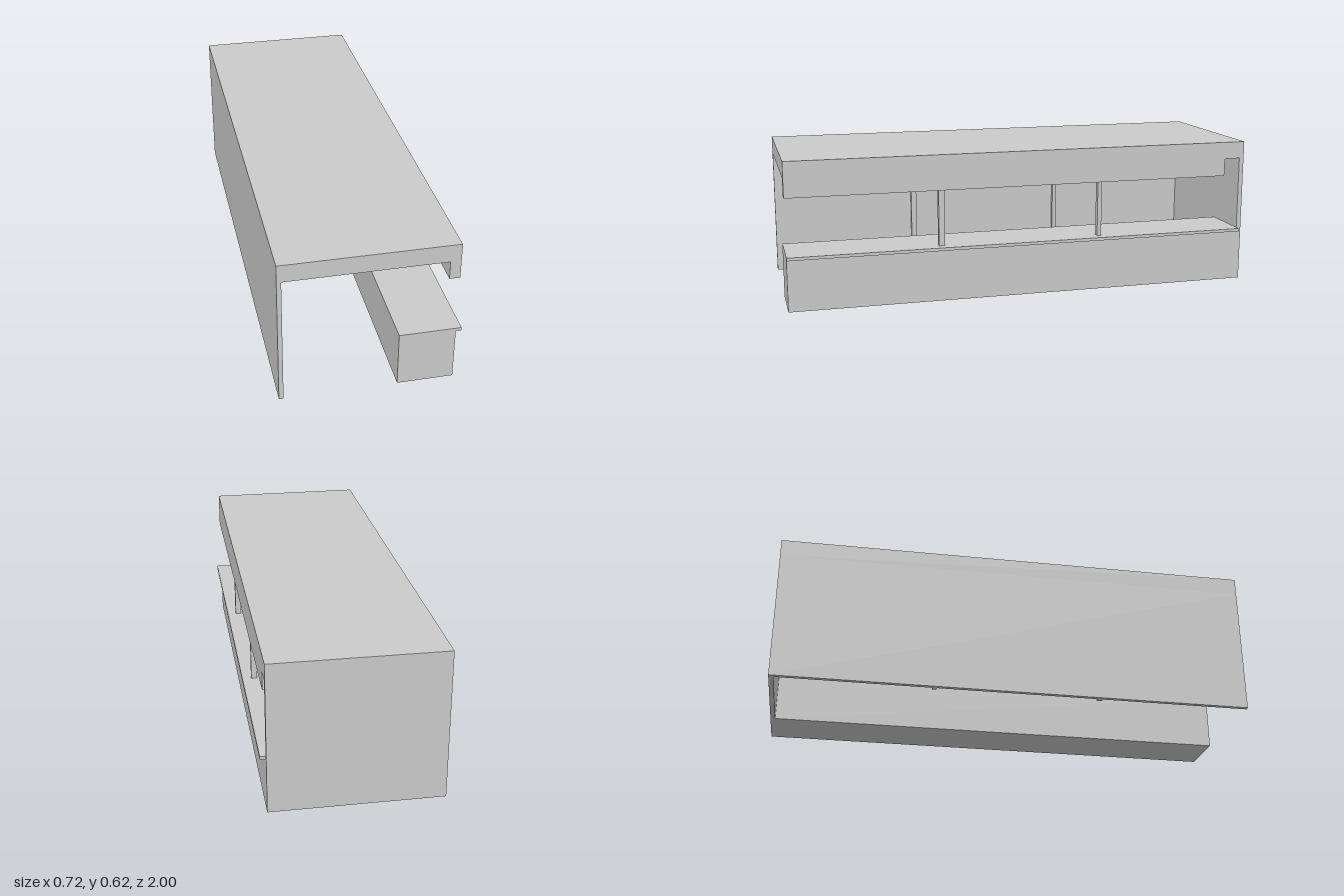
import * as THREE from 'three';

const material = new THREE.MeshStandardMaterial({ color: 0xcccccc, flatShading: true });

// Box given by its extents along each axis
function block(name, [x0, x1], [y0, y1], [z0, z1]) {
  const mesh = new THREE.Mesh(new THREE.BoxGeometry(x1 - x0, y1 - y0, z1 - z0), material);
  mesh.name = name;
  mesh.position.set((x0 + x1) / 2, (y0 + y1) / 2, (z0 + z1) / 2);
  return mesh;
}

export function createModel() {
  const group = new THREE.Group();
  group.name = 'openFrontedShelter';

  const left = -0.358, right = 0.335, top = 0.62;
  const ceiling = 0.547, wallInner = -0.34, backInner = -0.98;
  const counterTop = 0.233, beamBottom = 0.471;

  // Shell: roof, long side wall and end wall
  group.add(
    block('roof', [left, right], [ceiling, top], [-1, 1]),
    block('sideWall', [left, wallInner], [0, ceiling], [-1, 1]),
    block('endWall', [wallInner, right], [0, ceiling], [-1, backInner])
  );

  // Beam hanging below the roof edge, stopping short of the end wall
  group.add(block('edgeBeam', [0.293, right], [beamBottom, ceiling], [-0.91, 1]));

  // Low solid parapet with a thin ledge on its outer edge
  group.add(
    block('parapet', [0.11, right], [0, counterTop], [backInner, 1]),
    block('ledge', [right, 0.357], [0.22, counterTop], [backInner, 1])
  );

  // Columns on the parapet, each with a pilaster on the opposite wall
  for (const [z0, z1] of [[0.347, 0.371], [-0.344, -0.326]]) {
    group.add(
      block('column', [0.295, 0.319], [counterTop, beamBottom], [z0, z1]),
      block('pilaster', [wallInner, -0.323], [0, ceiling], [z0, z1])
    );
  }
  return group;
}
